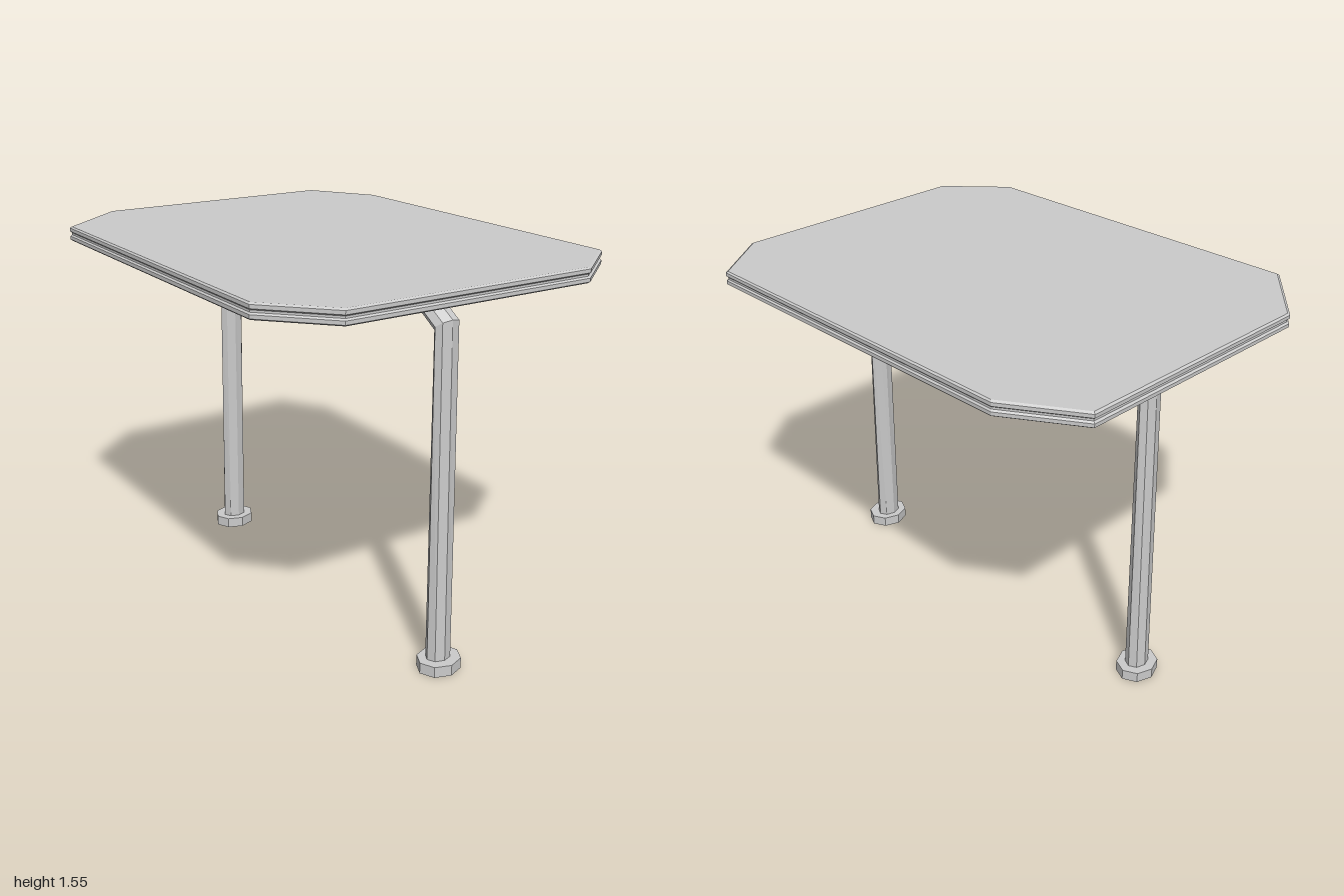
import * as THREE from 'three';

const material = new THREE.MeshStandardMaterial({ color: 0xcccccc, flatShading: true });

// Skin between rings of points (counter-clockwise seen from the far end), with flat end caps
function loft(rings) {
  const n = rings[0].length, index = [];
  for (let i = 0; i < rings.length - 1; i++) {
    for (let j = 0; j < n; j++) {
      const k = (j + 1) % n;
      const a = i * n + j, b = i * n + k, c = b + n, d = a + n;
      index.push(a, b, d, b, c, d);
    }
  }
  const last = (rings.length - 1) * n;
  for (let j = 1; j < n - 1; j++) {
    index.push(0, j + 1, j);
    index.push(last, last + j, last + j + 1);
  }
  const geometry = new THREE.BufferGeometry();
  geometry.setAttribute('position', new THREE.Float32BufferAttribute(rings.flat(2), 3));
  geometry.setIndex(index);
  const flat = geometry.toNonIndexed();
  flat.computeVertexNormals();
  return flat;
}

function addPart(group, name, geometry) {
  const mesh = new THREE.Mesh(geometry, material);
  mesh.name = name;
  group.add(mesh);
  return mesh;
}

export function createModel() {
  const model = new THREE.Group();
  model.name = 'table';
  const centreX = -0.008;

  // Uneven eight-cornered top, [x, z]
  const outline = [
    [-0.76, -0.757], [-0.77, 0.748], [-0.556, 0.982], [0.508, 0.992],
    [0.762, 0.8], [0.772, -0.705], [0.598, -0.99], [-0.466, -1],
  ];
  // Edge profile with a groove round the middle, [y, scale]
  const edge = [
    [1.49, 0.991], [1.496, 1], [1.51, 1], [1.516, 0.992],
    [1.524, 0.992], [1.53, 1], [1.544, 1], [1.55, 0.991],
  ];
  addPart(model, 'tableTop', loft(edge.map(([y, s]) => outline.map(([x, z]) => [x * s, y, z * s]))));

  // Thin mounting plate under the top
  addPart(model, 'mountingPlate', new THREE.BoxGeometry(0.42, 0.008, 1.12))
    .position.set(-0.02, 1.487, 0.04);

  // Bent tube: outer and inner edge of each section, [outer z, outer y, inner z, inner y]
  const sections = [
    [0.882, 0.035, 0.796, 0.035],
    [0.85, 1.4, 0.786, 1.35],
    [0.695, 1.494, 0.662, 1.428],
    [-0.635, 1.494, -0.593, 1.428],
    [-0.765, 1.4, -0.7, 1.35],
    [-0.807, 0.035, -0.72, 0.035],
  ];
  addPart(model, 'legFrame', loft(sections.map(([oz, oy, iz, iy]) => {
    const ring = [];
    for (let j = 0; j < 8; j++) {
      const angle = (j * Math.PI) / 4;
      const t = Math.sin(angle) / 2;
      ring.push([
        centreX + 0.053 * Math.cos(angle),
        (oy + iy) / 2 - (oy - iy) * t,
        (oz + iz) / 2 - (oz - iz) * t,
      ]);
    }
    return ring;
  })));

  // Eight-sided feet, hollow underneath
  const footProfile = [[0, 0.028], [0.05, 0.028], [0.058, 0], [0.08, 0], [0.08, 0.045], [0, 0.045]]
    .map(([r, y]) => new THREE.Vector2(r, y));
  for (const [name, z] of [['frontFoot', 0.845], ['backFoot', -0.765]]) {
    const foot = addPart(model, name, new THREE.LatheGeometry(footProfile, 8));
    foot.position.set(centreX, 0, z);
    foot.scale.x = 1.15;
  }

  return model;
}
